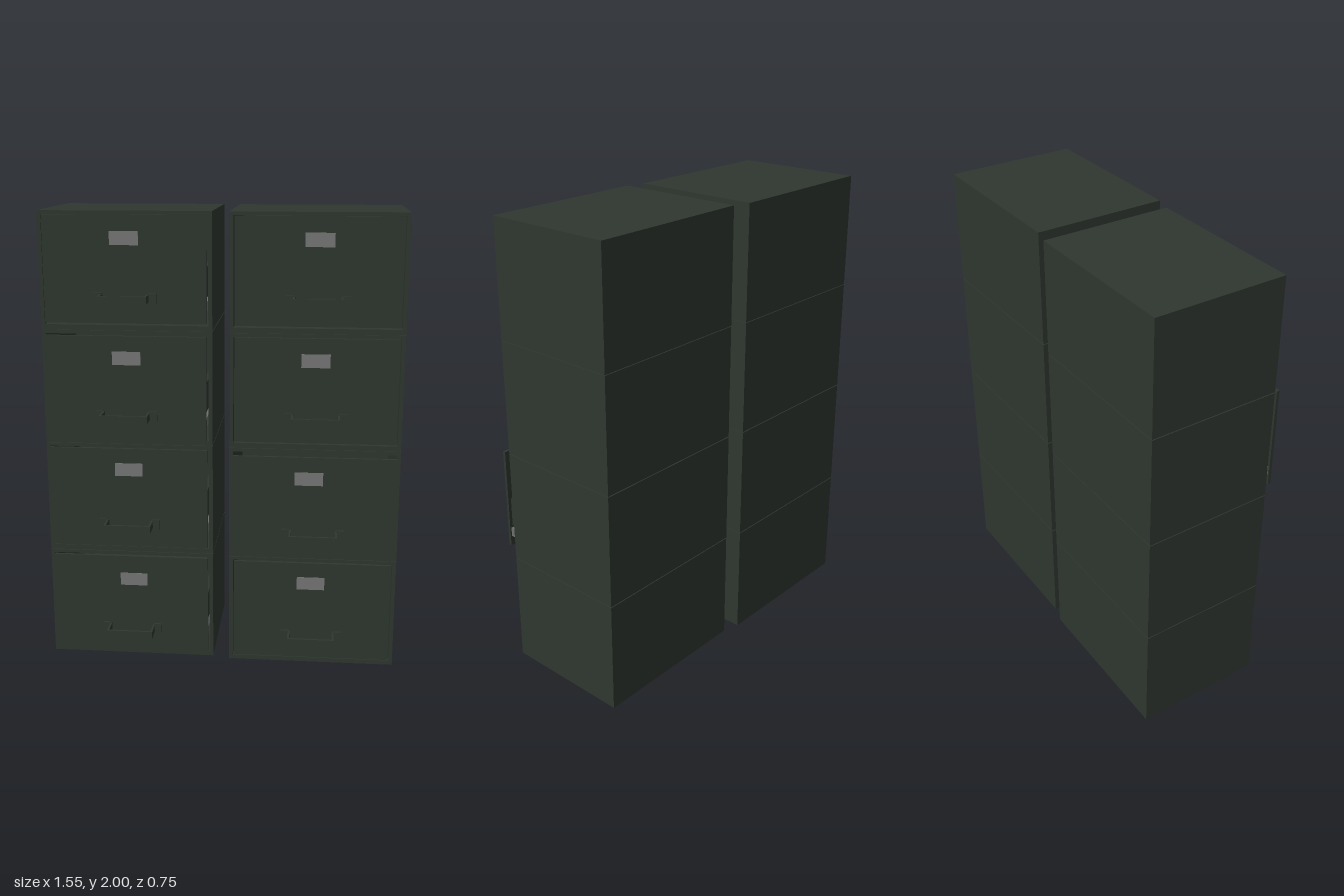
import * as THREE from 'three';

const paint = new THREE.MeshStandardMaterial({ color: 0x2f362f });
const railGrey = new THREE.MeshStandardMaterial({ color: 0x6c706c });
const paper = new THREE.MeshStandardMaterial({ color: 0x777777 });

const W = 0.736, H = 0.497, D = 0.577, PITCH = 0.501; // one drawer unit

function box(parent, name, w, h, d, x, y, z, material = paint) {
  const mesh = new THREE.Mesh(new THREE.BoxGeometry(w, h, d), material);
  mesh.name = name;
  mesh.position.set(x, y, z);
  parent.add(mesh);
  return mesh;
}

function rect(target, x0, y0, x1, y1) {
  target.moveTo(x0, y0);
  target.lineTo(x1, y0);
  target.lineTo(x1, y1);
  target.lineTo(x0, y1);
  target.closePath();
  return target;
}

// Hollow case, open at the front (front edge at z = 0)
function createCase() {
  const group = new THREE.Group();
  group.name = 'case';
  const outline = rect(new THREE.Shape(), -W / 2, 0, W / 2, H);
  outline.holes.push(rect(new THREE.Path(), -W / 2 + 0.017, 0.02, W / 2 - 0.017, H - 0.015));
  const shell = new THREE.Mesh(
    new THREE.ExtrudeGeometry(outline, { depth: D, bevelEnabled: false }), paint);
  shell.name = 'caseShell';
  shell.position.z = -D;
  group.add(shell);
  box(group, 'caseBack', W - 0.034, H - 0.035, 0.015, 0, H / 2 + 0.0025, -D + 0.0075);
  return group;
}

// Flat pull bar on two arms with mounting feet
function createHandle() {
  const group = new THREE.Group();
  group.name = 'handle';
  box(group, 'handleBar', 0.206, 0.032, 0.01, 0, 0, 0.079);
  for (const side of [-1, 1]) {
    box(group, 'handleArm', 0.009, 0.032, 0.076, side * 0.0985, 0, 0.037);
    box(group, 'handleFoot', 0.034, 0.042, 0.011, side * 0.117, 0, 0.005);
    box(group, 'handleBolt', 0.03, 0.03, 0.008, side * 0.117, 0, -0.017);
  }
  return group;
}

// Drawer whose front panel has its back face at z = 0
function createDrawer(labelX, labelY) {
  const group = new THREE.Group();
  group.name = 'drawer';
  box(group, 'drawerFront', 0.692, 0.452, 0.013, 0, 0.255, 0.0065);

  // Low open-topped tray
  const length = 0.53, zMid = -length / 2;
  box(group, 'trayFloor', 0.57, 0.01, length, 0, 0.055, zMid);
  box(group, 'trayBack', 0.57, 0.22, 0.01, 0, 0.16, -length + 0.005);
  box(group, 'trayFront', 0.57, 0.22, 0.01, 0, 0.16, -0.01);
  for (const side of [-1, 1]) {
    box(group, 'traySide', 0.01, 0.22, length, side * 0.28, 0.16, zMid);
    box(group, 'runner', 0.03, 0.04, length, side * 0.325, 0.095, zMid, railGrey);
    box(group, 'runnerCover', 0.02, 0.13, length, side * 0.322, 0.19, zMid);
  }

  const handle = createHandle();
  handle.position.set(0, 0.138, 0.013);
  group.add(handle);

  box(group, 'labelCard', 0.122, 0.058, 0.002, labelX, labelY, 0.014, paper);
  return group;
}

// Stack of four units; each drawer entry is [pull-out, label x, label y], bottom first
function createCabinet(name, x, z, drawers) {
  const cabinet = new THREE.Group();
  cabinet.name = name;
  drawers.forEach(([pull, labelX, labelY], i) => {
    const unit = new THREE.Group();
    unit.name = 'drawerUnit' + (i + 1);
    unit.position.y = i * PITCH;
    const drawer = createDrawer(labelX, labelY);
    drawer.position.z = pull;
    unit.add(createCase(), drawer);
    cabinet.add(unit);
  });
  // Recessed filler closing the seams between units
  for (let i = 1; i < drawers.length; i++) {
    box(cabinet, 'seamFiller', W - 0.01, 0.006, D - 0.01, 0, i * PITCH - 0.002, -D / 2);
  }
  cabinet.position.set(x, 0, z);
  return cabinet;
}

export function createModel() {
  const model = new THREE.Group();
  model.name = 'filingCabinets';
  model.add(
    createCabinet('rightCabinet', -0.405, 0.202, [
      [0.006, 0.012, 0.372], [0.006, 0, 0.386], [0.031, 0.005, 0.386], [0, 0, 0.386],
    ]),
    createCabinet('leftCabinet', 0.405, 0.222, [
      [0, -0.005, 0.386], [0.054, -0.022, 0.386], [0, -0.003, 0.386], [0, 0.004, 0.386],
    ]),
  );
  return model;
}
